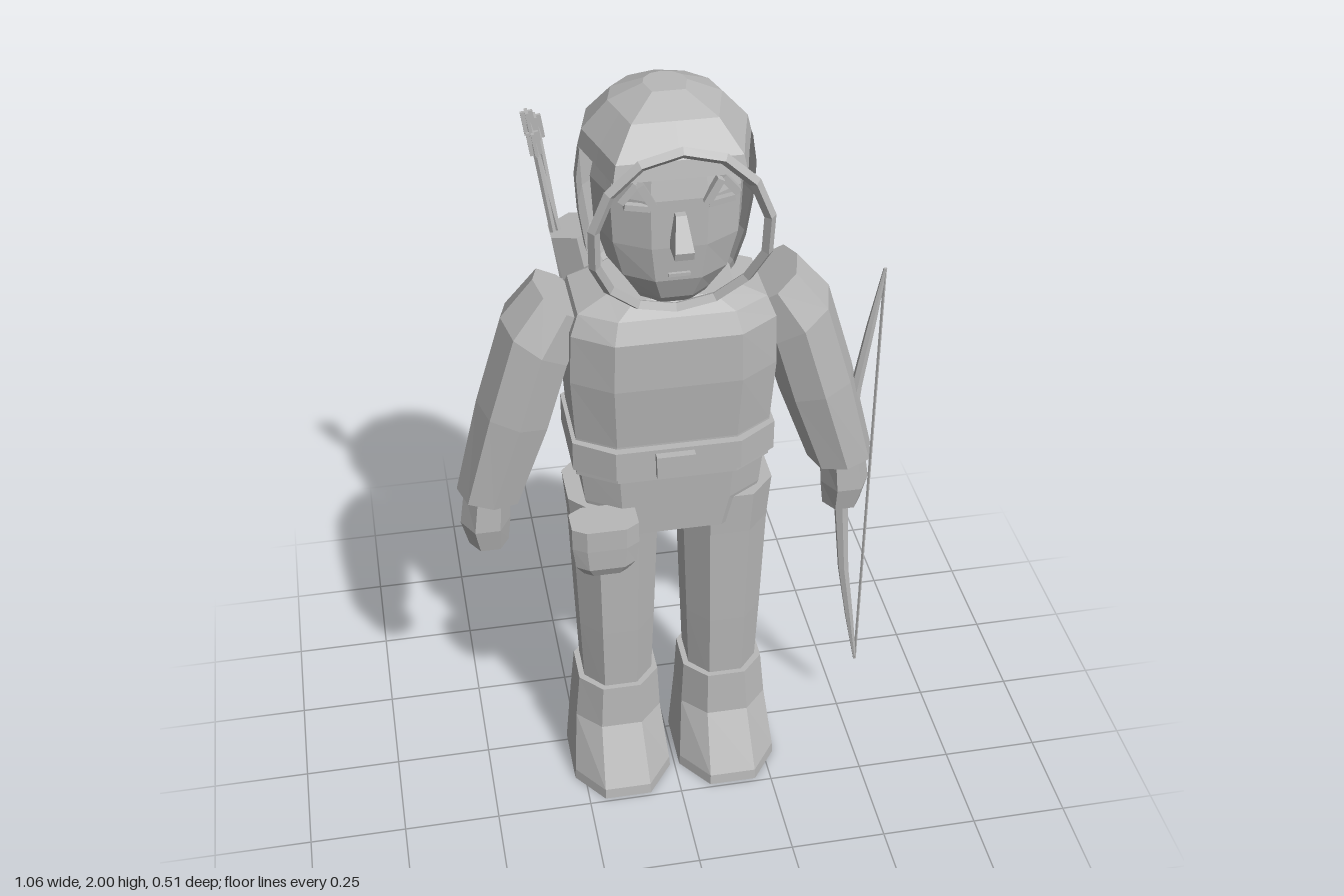
import * as THREE from 'three';

const grey = new THREE.MeshStandardMaterial({ color: 0xb8b8b8 });
grey.name = 'plain grey';
grey.side = THREE.DoubleSide;

// Faceted geometry: split vertices so every face gets its own normal
function facet(g) {
  const f = g.index ? g.toNonIndexed() : g;
  f.computeVertexNormals();
  return f;
}

// Closed loft through rings listed bottom to top: [x, y, z, rx, rz, tilt]
// flat: faces (rather than edges) point along the axes; p < 1 squares the ring
function loft(rings, { n = 8, flat = true, p = 1 } = {}) {
  const pos = [], idx = [];
  const off = flat ? 0.5 : 0;
  const k = flat ? Math.cos(Math.PI / n) ** p : 1;
  const pw = (v) => (Math.sign(v) * Math.abs(v) ** p) / k;
  rings.forEach(([x, y, z, rx, rz, t = 0]) => {
    for (let i = 0; i < n; i++) {
      const a = ((i + off) / n) * Math.PI * 2;
      const u = pw(Math.cos(a)) * rx;
      pos.push(x + u * Math.cos(t), y + u * Math.sin(t), z + pw(Math.sin(a)) * rz);
    }
  });
  const last = rings.length - 1, c = rings.length * n;
  pos.push(...rings[0].slice(0, 3), ...rings[last].slice(0, 3));
  for (let i = 0; i < n; i++) {
    const j = (i + 1) % n;
    for (let r = 0; r < last; r++) {
      const b = r * n, t = b + n;
      idx.push(b + i, t + i, t + j, b + i, t + j, b + j);
    }
    idx.push(c, i, j, c + 1, last * n + j, last * n + i);
  }
  const g = new THREE.BufferGeometry();
  g.setAttribute('position', new THREE.Float32BufferAttribute(pos, 3));
  g.setIndex(idx);
  return facet(g);
}

export function createModel() {
  const model = new THREE.Group();
  model.name = 'archer';

  const add = (name, geo, parent = model) => {
    const m = new THREE.Mesh(geo, grey);
    m.name = name;
    parent.add(m);
    return m;
  };
  const box = (name, w, h, d, x, y, z, rz = 0) => {
    const m = add(name, facet(new THREE.BoxGeometry(w, h, d)));
    m.position.set(x, y, z);
    m.rotation.z = rz;
    return m;
  };
  // Tapered rod between two points
  const rod = (name, a, b, r0, r1, n = 6) => {
    const A = new THREE.Vector3(...a), B = new THREE.Vector3(...b);
    const m = add(name, facet(new THREE.CylinderGeometry(r1, r0, A.distanceTo(B), n)));
    m.position.copy(A).add(B).multiplyScalar(0.5);
    m.quaternion.setFromUnitVectors(new THREE.Vector3(0, 1, 0), B.sub(A).normalize());
    return m;
  };

  // Jacket, belt and hip skirt
  add('jacket', loft([
    [0, 1.02, 0.02, 0.24, 0.15], [0, 1.13, 0.02, 0.24, 0.15], [0, 1.3, 0.02, 0.25, 0.165],
    [0, 1.43, 0.02, 0.245, 0.165], [0, 1.48, 0.02, 0.225, 0.14], [0, 1.51, 0.01, 0.15, 0.11],
  ], { p: 0.55 }));
  add('belt', loft([[0, 1.045, 0.02, 0.25, 0.17], [0, 1.125, 0.02, 0.25, 0.17]], { p: 0.55 }));
  box('beltBuckle', 0.095, 0.06, 0.03, -0.01, 1.085, 0.195);
  add('hipSkirt', loft([
    [0, 0.84, 0.02, 0.19, 0.13], [0, 0.93, 0.02, 0.22, 0.135], [0, 1.04, 0.02, 0.23, 0.14],
  ], { p: 0.55 }));

  // Legs, boots, arms and hands
  for (const s of [-1, 1]) {
    const side = s > 0 ? 'left' : 'right';
    const limb = (name, rings, opt) => add(side + name, loft(
      rings.map(([x, y, z, a, b, t = 0]) => [x * s, y, z, a, b, t * s]), opt));
    limb('Leg', [
      [0.142, 0.28, 0.025, 0.09, 0.1], [0.142, 0.5, 0.025, 0.098, 0.108],
      [0.142, 0.8, 0.022, 0.108, 0.118], [0.145, 0.92, 0.02, 0.115, 0.125],
    ], { p: 0.85 });
    limb('Boot', [
      [0.145, 0, 0.065, 0.132, 0.175], [0.145, 0.03, 0.065, 0.13, 0.172],
      [0.145, 0.18, 0.03, 0.115, 0.118], [0.142, 0.31, 0.03, 0.106, 0.11],
    ], { p: 0.85 });
    limb('Sleeve', [
      [0.448, 0.94, 0.025, 0.083, 0.09, 0.12], [0.375, 1.18, 0.02, 0.096, 0.113, 0.29],
      [0.315, 1.38, 0.02, 0.1, 0.112, 0.6], [0.25, 1.48, 0.015, 0.083, 0.09, 0.64],
    ], { flat: false, p: 0.85 });
    limb('Hand', [
      [0.46, 0.78, 0.035, 0.05, 0.045], [0.465, 0.85, 0.035, 0.063, 0.062],
      [0.455, 0.95, 0.03, 0.058, 0.062],
    ], { n: 6, flat: false });
  }

  // Pouch on the right hip
  add('hipPouch', loft([
    [-0.187, 0.78, 0.185, 0.055, 0.035], [-0.187, 0.81, 0.185, 0.075, 0.05],
    [-0.187, 0.87, 0.185, 0.083, 0.052], [-0.187, 0.93, 0.185, 0.083, 0.052],
  ], { p: 0.6 }));

  // Hood: full crown with a broad flat front, lower part open over the face
  const crownPts = [[0.2, 1.86], [0.19, 1.9], [0.13, 1.965], [0.05, 2], [0, 2]];
  const crown = new THREE.LatheGeometry(crownPts.map((q) => new THREE.Vector2(...q)), 12);
  const cp = crown.attributes.position;
  for (let i = 0; i < cp.count; i++) {
    const r = Math.hypot(cp.getX(i), cp.getZ(i));
    if (r > 0.01 && cp.getZ(i) > 0.8 * r) {
      cp.setX(i, cp.getX(i) * 1.5);
      cp.setZ(i, r * 0.97);
    }
  }
  add('hoodCrown', facet(crown));
  const backPts = [[0.13, 1.47], [0.165, 1.52], [0.19, 1.6], [0.205, 1.7], [0.21, 1.79], [0.2, 1.86]];
  add('hoodBack', facet(new THREE.LatheGeometry(
    backPts.map((q) => new THREE.Vector2(...q)), 6, Math.PI / 2, Math.PI)));
  for (const s of [-1, 1]) { // narrow front returns of the hood sides
    const m = add('hoodEdge', facet(new THREE.LatheGeometry(
      backPts.map((q) => new THREE.Vector2(...q)), 1, s > 0 ? Math.PI * 0.46 : Math.PI * 1.5, Math.PI * 0.04)));
    m.position.set(0, 0, 0);
  }

  // Hood rim, its lower part swept back under the chin
  const rim = [];
  for (let i = 0; i < 14; i++) {
    const a = (i / 14) * Math.PI * 2;
    const y = 1.715 + 0.22 * Math.cos(a);
    rim.push(new THREE.Vector3(0.202 * Math.sin(a), y, 0.214 - 0.38 * Math.max(0, 1.69 - y)));
  }
  add('hoodRim', facet(new THREE.TubeGeometry(
    new THREE.CatmullRomCurve3(rim, true), 14, 0.014, 4, true)));

  // Face
  add('head', loft([
    [0, 1.48, 0.03, 0.08, 0.08], [0, 1.53, 0.04, 0.1, 0.115], [0, 1.59, 0.04, 0.145, 0.14],
    [0, 1.68, 0.04, 0.172, 0.148], [0, 1.8, 0.035, 0.178, 0.153], [0, 1.88, 0.03, 0.16, 0.14],
  ], { n: 10, flat: false, p: 0.85 }));
  add('nose', loft([
    [0, 1.68, 0.205, 0.022, 0.035], [0, 1.7, 0.208, 0.022, 0.037], [0, 1.77, 0.185, 0.012, 0.015],
  ], { n: 4 }));
  box('mouth', 0.05, 0.008, 0.008, 0, 1.61, 0.182);
  for (const s of [-1, 1]) {
    box('browInner', 0.018, 0.065, 0.02, s * 0.075, 1.82, 0.185, s * -0.5);
    box('browOuter', 0.018, 0.055, 0.02, s * 0.115, 1.825, 0.172, s * 0.7);
    box('eyelid', 0.06, 0.014, 0.016, s * 0.095, 1.79, 0.178, s * 0.2);
  }

  // Quiver with arrows and its back strap
  rod('quiver', [-0.085, 0.97, -0.17], [-0.19, 1.54, -0.195], 0.055, 0.068, 6);
  const arrows = [[-0.285, 1.82, -0.205], [-0.265, 1.8, -0.22], [-0.275, 1.77, -0.195]];
  arrows.forEach(([x, y, z], i) => {
    rod('arrowShaft', [-0.2 - i * 0.01, 1.4, -0.19], [x, y, z], 0.008, 0.008, 5);
    box('arrowFletching', 0.03, 0.06, 0.008, x, y, z, 0.15);
    box('arrowFletching', 0.008, 0.06, 0.03, x, y, z, 0.15);
  });
  rod('quiverStrap', [-0.17, 1.47, -0.165], [0.19, 1.19, -0.15], 0.014, 0.014, 4);

  // Bow in the left hand
  const half = [[0.455, 0.845, 0.018], [0.463, 0.73, 0.016], [0.478, 0.55, 0.013], [0.505, 0.37, 0.01], [0.53, 0.21, 0.004]];
  const bow = [
    ...half.slice().reverse(),
    ...half.slice(1).map(([x, y, r]) => [x, 1.69 - y, r]),
  ].map(([x, y, r]) => [x, y, 0.04, r, r * 0.75]);
  add('bowLimbs', loft(bow, { n: 6 }));
  rod('bowString', [0.53, 0.215, 0.04], [0.53, 1.475, 0.04], 0.004, 0.004, 4);

  return model;
}
